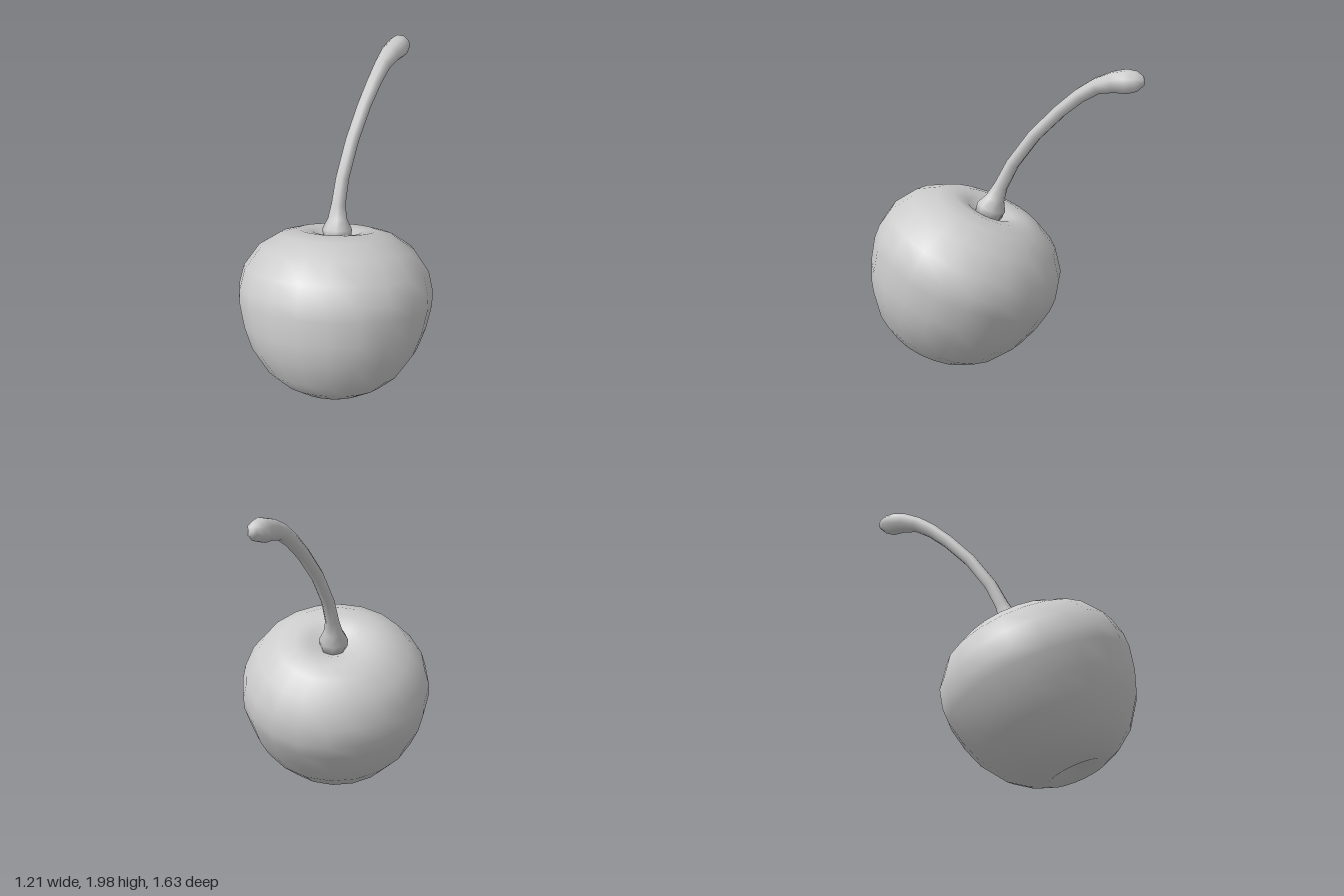
import * as THREE from 'three';
import { mergeVertices } from 'three/addons/utils/BufferGeometryUtils.js';

const material = new THREE.MeshStandardMaterial({ color: 0xcccccc });

// Fruit: lathe with a dimple at both ends, [radius, height] from bottom to top
function createFruit() {
  const profile = [
    [0, -0.50], [0.09, -0.52], [0.19, -0.547], [0.30, -0.497], [0.41, -0.413], [0.52, -0.255],
    [0.57, -0.12], [0.602, 0.03], [0.603, 0.12], [0.575, 0.24], [0.48, 0.375], [0.35, 0.455],
    [0.24, 0.483], [0.15, 0.468], [0.07, 0.42], [0, 0.40],
  ].map(([r, h]) => new THREE.Vector2(r, h));
  const fruit = new THREE.Mesh(new THREE.LatheGeometry(profile, 20), material);
  fruit.name = 'fruit';
  fruit.position.set(0, 0.591, 0.243);
  fruit.rotation.x = -THREE.MathUtils.degToRad(22);
  return fruit;
}

// Stem: tube whose radius changes at every ring, [x, y, z, radius]
function createStem() {
  const rings = [
    [0, 0.97, 0.085, 0], [0, 0.985, 0.079, 0.085], [0, 1.04, 0.06, 0.092], [0, 1.10, 0.035, 0.06],
    [0.003, 1.18, 0.0, 0.044], [0.023, 1.33, -0.07, 0.041], [0.075, 1.53, -0.20, 0.041],
    [0.14, 1.70, -0.345, 0.042], [0.195, 1.81, -0.455, 0.045], [0.24, 1.88, -0.55, 0.05],
    [0.285, 1.915, -0.64, 0.064], [0.325, 1.928, -0.71, 0.073], [0.347, 1.935, -0.765, 0.06],
    [0.36, 1.94, -0.80, 0.03], [0.362, 1.941, -0.806, 0],
  ];
  const path = new THREE.CatmullRomCurve3(rings.map(([x, y, z]) => new THREE.Vector3(x, y, z)));
  // Place the tube rings on the control points themselves
  path.getPointAt = path.getPoint;
  path.getTangentAt = path.getTangent;
  const sides = 8;
  const geometry = new THREE.TubeGeometry(path, rings.length - 1, 1, sides);
  const { position, normal } = geometry.attributes;
  for (let i = 0; i < position.count; i++) {
    const [x, y, z, r] = rings[Math.floor(i / (sides + 1))];
    position.setXYZ(i, x + normal.getX(i) * r, y + normal.getY(i) * r, z + normal.getZ(i) * r);
  }
  // Weld the seam and the tips for smooth shading
  geometry.deleteAttribute('normal');
  geometry.deleteAttribute('uv');
  const welded = mergeVertices(geometry, 1e-4);
  welded.computeVertexNormals();
  const stem = new THREE.Mesh(welded, material);
  stem.name = 'stem';
  return stem;
}

export function createModel() {
  const model = new THREE.Group();
  model.name = 'cherry';
  model.add(createFruit(), createStem());
  return model;
}
